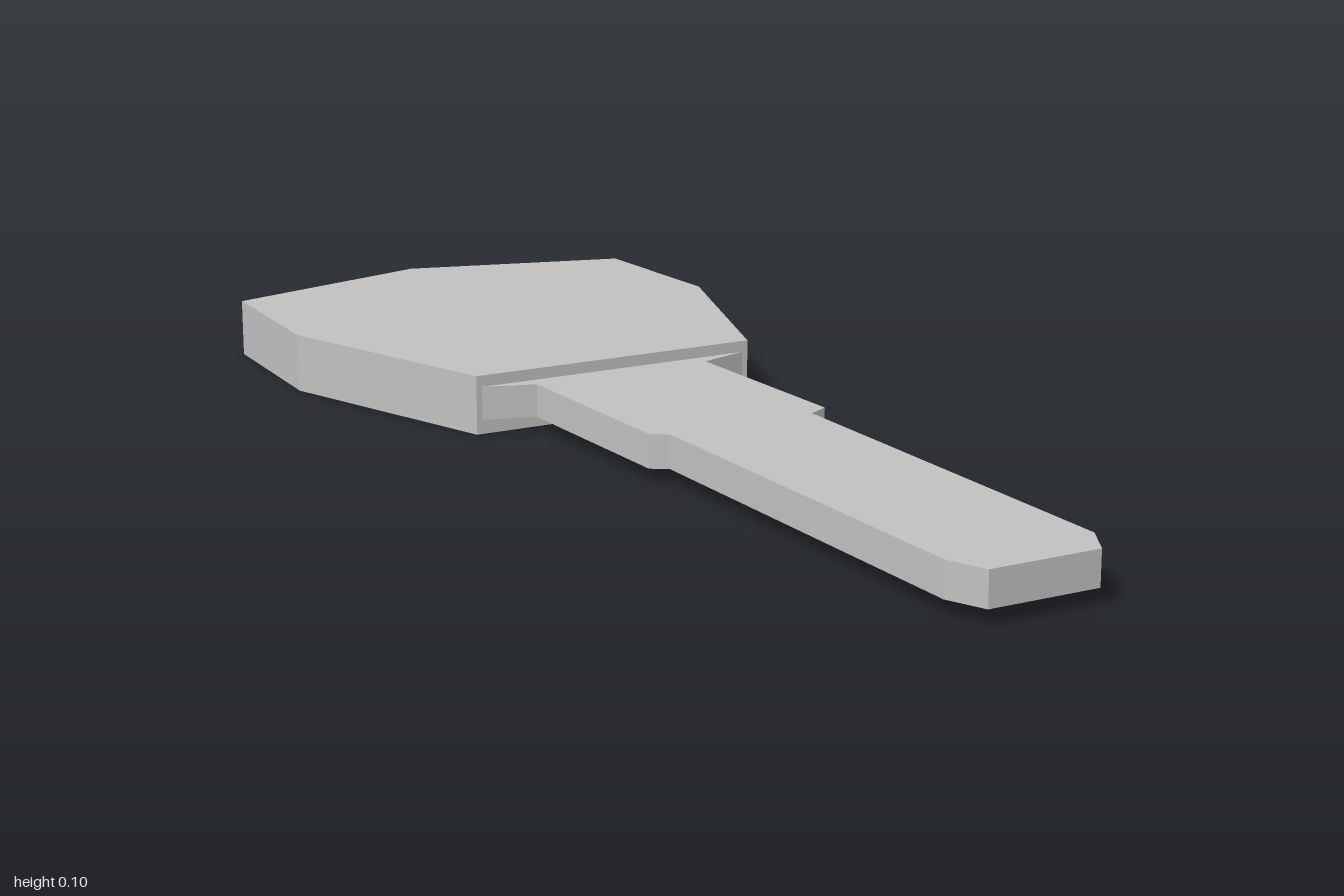
import * as THREE from 'three';

// Extrude a plan outline of [x, z] points between two heights.
function slab(name, outline, bottom, top, material) {
  const shape = new THREE.Shape(outline.map(([x, z]) => new THREE.Vector2(x, z)));
  const geometry = new THREE.ExtrudeGeometry(shape, { depth: top - bottom, bevelEnabled: false });
  geometry.rotateX(Math.PI / 2).translate(0, top, 0);
  const mesh = new THREE.Mesh(geometry, material);
  mesh.name = name;
  return mesh;
}

export function createModel() {
  const model = new THREE.Group();
  model.name = 'key';
  const metal = new THREE.MeshStandardMaterial({ color: 0xc0c0c0 });
  metal.name = 'grey metal';

  // Thick faceted grip
  const half = [[0.255, -0.185], [0.396, -0.595], [0.382, -0.893]];
  const mirrored = half.map(([x, z]) => [-x, z]).reverse();
  model.add(slab('grip', [...half, [0, -1], ...mirrored], 0, 0.098, metal));

  // Thin stepped blade with flared collar and chamfered tip
  model.add(slab('blade', [
    [0.245, -0.185], [0.157, -0.157], [0.168, 0.198], [0.132, 0.218], [0.13, 0.938], [0.095, 1],
    [-0.088, 1], [-0.115, 0.938], [-0.123, 0.218], [-0.15, 0.2], [-0.16, -0.157], [-0.245, -0.185],
  ], 0.024, 0.079, metal));

  return model;
}
